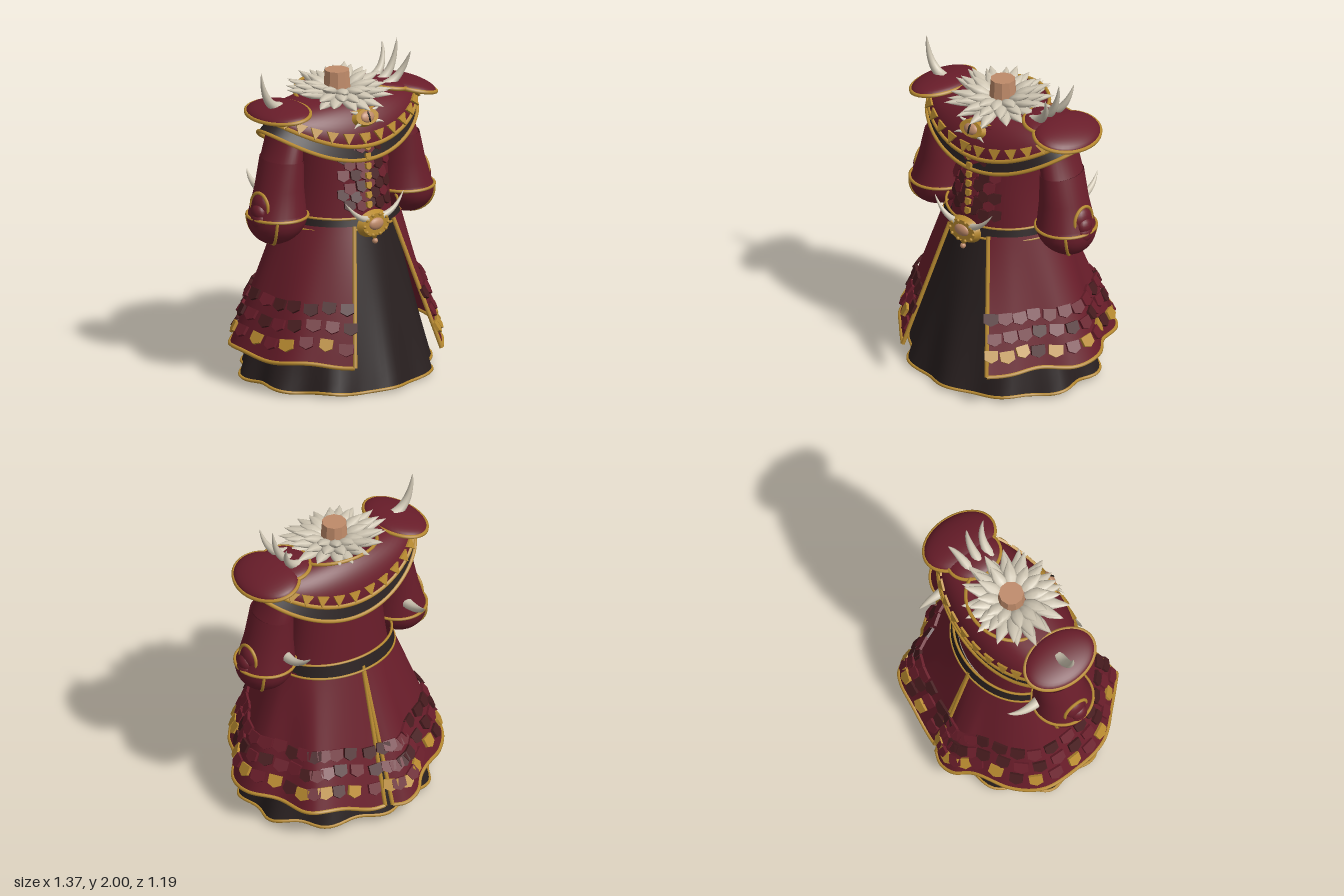
import * as THREE from 'three';
import { mergeGeometries, mergeVertices } from 'three/addons/utils/BufferGeometryUtils.js';

const mat = (name, color, side = THREE.FrontSide) =>
  Object.assign(new THREE.MeshStandardMaterial({ color, side }), { name });
const V = (x, y, z) => new THREE.Vector3(x, y, z);
const { lerp, smoothstep } = THREE.MathUtils;
const PI = Math.PI;

// Point on an egg-shaped ring; a = 0 faces front, a = PI/2 faces +x
const ring = (a, y, rx, zf, zb, cx = 0, cz = 0) =>
  V(cx + rx * Math.sin(a), y, cz + Math.cos(a) * (Math.cos(a) > 0 ? zf : zb));

// Smooth surface from f(u, v), u running to the right and v running down
function loft(f, nu, nv) {
  const pos = [], idx = [];
  for (let i = 0; i <= nu; i++) for (let j = 0; j <= nv; j++) pos.push(...f(i / nu, j / nv).toArray());
  for (let i = 0; i < nu; i++) for (let j = 0; j < nv; j++) {
    const a = i * (nv + 1) + j, c = a + nv + 1;
    idx.push(a, a + 1, c, c, a + 1, c + 1);
  }
  let g = new THREE.BufferGeometry();
  g.setAttribute('position', new THREE.Float32BufferAttribute(pos, 3));
  g.setIndex(idx);
  g = mergeVertices(g, 1e-5);
  g.computeVertexNormals();
  return g;
}

// Cord following a sampled path
function cord(f, n, closed = false, r = 0.0125) {
  const pts = Array.from({ length: closed ? n : n + 1 }, (_, i) => f(i / n));
  return new THREE.TubeGeometry(new THREE.CatmullRomCurve3(pts, closed), n * 2, r, 6, closed);
}

// Curved horn tapering to a point
function horn(p0, p1, p2, r) {
  const n = 14, m = 10, curve = new THREE.QuadraticBezierCurve3(p0, p1, p2);
  const g = new THREE.TubeGeometry(curve, n, r, m), p = g.attributes.position, v = V(0, 0, 0);
  for (let i = 0; i < p.count; i++) {
    const t = Math.floor(i / (m + 1)) / n, c = curve.getPointAt(t);
    v.fromBufferAttribute(p, i).sub(c).multiplyScalar(Math.pow(1 - t, 0.75)).add(c);
    p.setXYZ(i, v.x, v.y, v.z);
  }
  return g;
}

// Flat plate with the given outline
function plate(points, depth) {
  return new THREE.ExtrudeGeometry(new THREE.Shape(points.map(([x, y]) => new THREE.Vector2(x, y))),
    { depth, bevelEnabled: false });
}
const shield = (w, h, d = 0.018) =>
  plate([[-w / 2, h / 2], [-w / 2, -h * 0.22], [0, -h / 2], [w / 2, -h * 0.22], [w / 2, h / 2]], d);

// Lay a geometry on a surface, its +z along the surface normal
function layOn(g, f, u, v, lift, tilt = 0) {
  const e = 0.004, p = f(u, v);
  const x = f(u + e, v).sub(f(u - e, v)).normalize();
  const up = f(u, v - e).sub(f(u, v + e)).normalize();
  const z = x.clone().cross(up).normalize();
  const y = z.clone().cross(x);
  return g.rotateX(tilt).applyMatrix4(new THREE.Matrix4().makeBasis(x, y, z).setPosition(p.addScaledVector(z, lift)));
}

export function createModel() {
  const root = new THREE.Group();
  const crimson = mat('crimson cloth', 0x691d2a, THREE.DoubleSide);
  const dark = mat('dark cloth', 0x292020, THREE.DoubleSide);
  const maroon = mat('maroon scale', 0x461b1e);
  const gold = mat('gold trim', 0xb98b30);
  const ivory = mat('ivory', 0xd0c7b4);
  const tan = mat('tan', 0xbe8a69);
  const black = mat('black', 0x14100f);
  const add = (name, g, m, parent = root) => {
    const o = new THREE.Mesh(g, m);
    o.name = name;
    parent.add(o);
    return o;
  };
  let seed = 7;
  const rand = () => (seed = (seed * 16807) % 2147483647) / 2147483647;

  // Underskirt with a wavy hem
  const under = (u, v) => {
    const a = u * 2 * PI, s = v * 1.25, w = 1 + 0.04 * v * v * Math.cos(10 * a);
    const y = 1 - v * (0.98 - 0.035 * (1 - Math.cos(a)) / 2) + 0.008 * v * Math.cos(9 * a);
    return ring(a, y, (0.34 + 0.21 * s) * w, (0.33 + 0.175 * s) * w, (0.25 + 0.195 * s) * w, -0.015 * v);
  };
  add('underskirt', loft(under, 96, 16), dark);
  add('underskirtHem', cord(u => under(u, 1), 80, true, 0.01), gold);

  // Split overskirt: each panel runs from the waist to its own folded hem, with three rows of scales
  const hems = {
    left: [[0.33, 0.59], [0.44, 0.46], [0.52, 0.3], [0.65, 0.14], [0.67, -0.05], [0.56, -0.22], [0.51, -0.4], [0.42, -0.47], [0.25, -0.5], [0.02, -0.53]],
    right: [[-0.33, 0.58], [-0.47, 0.43], [-0.61, 0.26], [-0.65, 0.05], [-0.64, -0.2], [-0.5, -0.37], [-0.29, -0.48], [-0.2, -0.56], [-0.1, -0.58], [-0.02, -0.55]],
  };
  const scales = { crimson: [], maroon: [], gold: [] };
  for (const [name, points] of Object.entries(hems)) {
    const left = name === 'left';
    const hemCurve = new THREE.SplineCurve(points.map(p => new THREE.Vector2(...p)));
    const panel = (u, v) => {
      const w = left ? u : 1 - u, h = hemCurve.getPoint(Math.min(1, Math.max(0, w)));
      const a = Math.atan2(Math.abs(h.x), h.y);
      const waist = ring((0.4 + (a - 0.515) * 1.058) * (left ? 1 : -1), 1.01, 0.385, 0.385, 0.28);
      const y = 0.22 - 0.09 * smoothstep(a, 2.3, 3.1) + 0.01 * Math.sin(a * 8);
      return waist.lerp(V(h.x, y, h.y), v);
    };
    add(name + 'Overskirt', loft(panel, 56, 14), crimson);
    add(name + 'OverskirtHem', cord(u => panel(u, 1), 44), gold);
    add(name + 'OverskirtFrontEdge', cord(v => panel(left ? 0 : 1, v), 12, false, 0.014), gold);
    add(name + 'OverskirtBackEdge', cord(v => panel(left ? 1 : 0, v), 12, false, 0.014), gold);
    [0.6, 0.73, 0.865].forEach((v, row) => {
      const n = 16;
      for (let i = 0; i < n; i++) {
        const u = (i + (row % 2 ? 0.65 : 0.4)) / n, k = rand();
        const golden = row === 2 && (i % 2 === 0 || k < 0.12);
        const list = golden ? 'gold' : k < 0.62 ? 'maroon' : 'crimson';
        const w = 0.078 + rand() * 0.012;
        scales[list].push(layOn(shield(w, 0.076), panel, u, v + (rand() - 0.5) * 0.025, 0.008, -0.1 - rand() * 0.2));
      }
    });
  }

  // Torso with a staggered column of scales down the chest
  const torso = (u, v) => {
    const y = lerp(1.68, 0.98, v), q = Math.pow(2 * v - 0.9, 2);
    return ring(u * 2 * PI, y, 0.315 + 0.03 * q, 0.275 + 0.03 * v, 0.2 + 0.04 * v);
  };
  add('torso', loft(torso, 48, 12), crimson);
  for (let r = 0; r < 8; r++) {
    const y = 1.535 - r * 0.06, shift = r % 2 ? 0.035 : 0;
    for (const x of [-0.16, -0.09, -0.035, 0.035, 0.1]) {
      const u = Math.asin((x + shift) / 0.32) / (2 * PI);
      const v = (1.68 - y + (rand() - 0.5) * 0.03) / 0.7;
      scales[rand() < 0.64 ? 'maroon' : 'crimson'].push(layOn(shield(0.068, 0.07), torso, u, v, 0.012, -0.2 - rand() * 0.15));
    }
    scales.gold.push(layOn(shield(0.036, 0.042), torso, -0.011, (1.68 - y) / 0.7, 0.034, -0.15));
  }
  for (const [k, m] of [['crimson', crimson], ['maroon', maroon], ['gold', gold]])
    add(k + 'Scales', mergeGeometries(scales[k]), m);

  // Belt and buckle
  const belt = (u, v) => {
    const a = u * 2 * PI, top = 1.05 + 0.012 * (1 - Math.cos(a));
    return ring(a, lerp(top, 0.985, v), 0.375 + 0.015 * v, 0.355 + 0.02 * v, 0.275 + 0.02 * v);
  };
  add('belt', loft(belt, 48, 1), dark);
  for (const v of [0, 1]) add('beltTrim', cord(u => belt(u, v), 40, true, 0.008), gold);
  const buckle = new THREE.Group();
  buckle.name = 'buckle';
  buckle.position.set(-0.02, 1.01, 0.385);
  root.add(buckle);
  add('buckleDisc', new THREE.CylinderGeometry(0.1, 0.122, 0.035, 28).rotateX(PI / 2).scale(1, 0.7, 1), gold, buckle);
  add('buckleStone', new THREE.SphereGeometry(0.055, 20, 12).scale(1, 0.7, 0.45).translate(0, 0.005, 0.014), tan, buckle);
  for (let i = 0; i < 10; i++) {
    const a = i * PI / 5;
    add('buckleStud', new THREE.SphereGeometry(0.011, 8, 6).translate(0.09 * Math.cos(a), 0.063 * Math.sin(a), 0.018), gold, buckle);
  }
  add('bucklePoint', new THREE.ConeGeometry(0.03, 0.05, 4).rotateX(PI).translate(0, -0.085, 0), gold, buckle);
  add('buckleBead', new THREE.SphereGeometry(0.018, 10, 8).translate(0, -0.105, 0.005), tan, buckle);
  for (const s of [-1, 1])
    add('buckleHorn', horn(V(s * 0.06, 0.04, 0), V(s * 0.15, 0.06, 0.02), V(s * 0.225, 0.17, 0), 0.022), ivory, buckle);

  // Two-layer mantle: dark under layer and crimson upper layer
  const drop = a => Math.pow(Math.cos(a), 2);
  const lowerMantle = (u, v) => {
    const a = u * 2 * PI, c = drop(a), back = Math.cos(a) < 0 ? 0.02 : 0;
    return ring(a, lerp(1.69 - 0.12 * c, 1.6 - (0.2 + back) * c, v), lerp(0.46, 0.565, v), lerp(0.28, 0.325, v), lerp(0.22, 0.27, v));
  };
  add('mantleUnderLayer', loft(lowerMantle, 64, 4), dark);
  add('mantleUnderTrim', cord(u => lowerMantle(u, 1), 56, true), gold);
  const mantle = (u, v) => {
    const a = u * 2 * PI, h = Math.sin(v * PI / 2), k = 1 - Math.cos(v * PI / 2);
    return ring(a, lerp(1.76, 1.675 - 0.185 * drop(a), k), lerp(0.1, 0.55, h), lerp(0.1, 0.335, h), lerp(0.1, 0.275, h));
  };
  add('mantle', loft(mantle, 64, 14), crimson);
  add('mantleTrim', cord(u => mantle(u, 1), 56, true, 0.014), gold);
  const teeth = [];
  for (let i = 0; i < 30; i++)
    teeth.push(layOn(plate([[-0.038, 0.03], [0, -0.037], [0.038, 0.03]], 0.014), mantle, (i + 0.5) / 30, 0.88, 0.003, -0.1));
  add('mantleTeeth', mergeGeometries(teeth), gold);

  // Collar, neck and leaf-shaped fur ruff
  const collar = (u, v) => {
    const a = u * 2 * PI, lift = 0.05 * (1 - Math.cos(a));
    return ring(a, lerp(1.685 + lift, 1.66 + lift * 0.7, v), lerp(0.265, 0.15, v), lerp(0.255, 0.15, v), lerp(0.23, 0.13, v));
  };
  add('collar', loft(collar, 40, 2), crimson);
  add('collarTrim', cord(u => collar(u, 0), 36, true, 0.011), gold);
  const neck = new THREE.CylinderGeometry(0.075, 0.088, 0.17, 10).toNonIndexed();
  neck.computeVertexNormals();
  add('neck', neck.translate(-0.015, 1.805, 0.025), tan);
  const leafProfile = [[0, 0], [0.028, 0.03], [0.042, 0.09], [0.036, 0.145], [0.016, 0.2], [0, 0.235]].map(p => new THREE.Vector2(...p));
  const leaves = [];
  [[17, 0.08, 1, 0], [15, 0.07, 0.92, 0.015], [12, 0.06, 0.68, 0.03]].forEach(([n, r, len, dy], row) => {
    for (let i = 0; i < n; i++) {
      const a = (i + row * 0.5) / n * 2 * PI + (rand() - 0.5) * 0.15;
      const rise = 0.2 + row * 0.11 - 0.32 * Math.max(0, Math.cos(a)) + (rand() - 0.5) * 0.16;
      const wide = 1 + 0.14 * Math.abs(Math.sin(a));
      leaves.push(new THREE.LatheGeometry(leafProfile, 8).scale(1, len * wide * (0.92 + rand() * 0.12), 0.58)
        .rotateX(PI / 2 - rise).translate(0, 0, r).rotateY(a).translate(-0.015, 1.745 + dy, 0.04));
    }
  });
  add('furRuff', mergeGeometries(leaves), ivory);

  // Eye-shaped brooch
  const brooch = new THREE.Group();
  brooch.name = 'brooch';
  brooch.position.set(-0.02, 1.66, 0.305);
  brooch.rotation.x = -0.4;
  root.add(brooch);
  add('broochFrame', new THREE.CylinderGeometry(0.085, 0.097, 0.03, 28).rotateX(PI / 2).scale(1, 0.58, 1), gold, brooch);
  add('broochStone', new THREE.SphereGeometry(0.05, 20, 12).scale(1, 0.7, 0.4).translate(0, 0, 0.014), tan, brooch);
  add('broochPupil', new THREE.SphereGeometry(0.03, 12, 8).scale(0.22, 1.2, 0.25).translate(0, 0, 0.031), black, brooch);
  for (const x of [-1, 1]) for (const y of [-1, 1])
    add('broochClaw', horn(V(x * 0.06, y * 0.035, 0), V(x * 0.09, y * 0.035, 0.01), V(x * 0.115, y * 0.055, 0.01), 0.012), ivory, brooch);

  // Domed shoulder plates with gold rims
  const pauldron = (name, x, y, rx, rz, h, tilt) => {
    const g = new THREE.Group();
    g.name = name;
    g.position.set(x, y, 0.03);
    g.rotation.z = tilt;
    root.add(g);
    add(name + 'Dome', new THREE.SphereGeometry(1, 36, 10, 0, 2 * PI, 0, PI / 2).scale(rx, h, rz), crimson, g);
    add(name + 'Underside', new THREE.CircleGeometry(1, 36).rotateX(PI / 2).scale(rx, 1, rz), crimson, g);
    add(name + 'Rim', cord(u => ring(u * 2 * PI, 0, rx, rz, rz), 32, true), gold, g);
  };
  pauldron('leftShoulderPlate', 0.49, 1.7, 0.175, 0.235, 0.06, -0.24);
  pauldron('leftInnerShoulderPlate', 0.35, 1.735, 0.14, 0.17, 0.04, -0.15);
  pauldron('rightShoulderPlate', -0.475, 1.715, 0.16, 0.235, 0.05, 0.14);

  // Shoulder horns: one on the right, three on the left
  add('rightShoulderHorn', horn(V(-0.46, 1.74, 0.03), V(-0.59, 1.77, 0.03), V(-0.605, 1.985, 0.03), 0.036), ivory);
  for (const [z, z2, top] of [[-0.04, -0.1, 1.95], [0.035, 0.04, 2], [0.11, 0.17, 1.95]])
    add('leftShoulderHorn', horn(V(0.28, 1.74, z), V(0.42, 1.78, z), V(0.435, top, z2), 0.036), ivory);

  // Arms: sleeve, bowl-shaped cuff, guard and elbow spike
  const rings = [[1.64, 0.4, 0.08, 0.1], [1.54, 0.42, 0.09, 0.145], [1.42, 0.445, 0.108, 0.152], [1.425, 0.448, 0.114, 0.156],
    [1.25, 0.468, 0.142, 0.158], [1.1, 0.485, 0.172, 0.178], [1.08, 0.487, 0.178, 0.183]];
  for (const s of [-1, 1]) {
    const arm = new THREE.Group();
    arm.name = s > 0 ? 'leftArm' : 'rightArm';
    root.add(arm);
    const sleeve = (u, v) => {
      const [y, x, rx, rz] = rings[Math.round(v * 6)];
      return ring(u * 2 * PI, y, rx, rz, rz, s * x, lerp(0.02, 0.04, v));
    };
    add('sleeve', loft(sleeve, 32, 6), crimson, arm);
    const cuff = (u, v) => {
      const k = Math.pow(Math.max(0, Math.cos(v * PI / 2)), 1.05), y = 1.08 - 0.175 * Math.sin(v * PI / 2);
      return ring(u * 2 * PI, y, 0.181 * k, 0.186 * k, 0.186 * k, s * (0.489 + 0.035 * v), 0.04);
    };
    add('cuff', loft(cuff, 36, 8), crimson, arm);
    add('cuffTopTrim', cord(u => cuff(u, 0), 32, true, 0.01), gold, arm);
    const outer = s * 0.11, rear = s * 0.39;
    add('cuffLowerTrim', cord(t => cuff(t < 0.5 ? outer : rear, 1 - Math.abs(2 * t - 1)), 16, false, 0.01), gold, arm);
    add('armGuard', new THREE.SphereGeometry(1, 20, 14).scale(0.055, 0.085, 0.078).translate(s * 0.6, 1.15, 0.035), crimson, arm);
    add('armGuardTrim', new THREE.TorusGeometry(0.08, 0.01, 6, 32).rotateY(PI / 2).scale(1, 1.07, 1).translate(s * 0.62, 1.15, 0.035), gold, arm);
    for (const [y, z, r] of [[1.12, 0.045, 0.055], [1.075, 0.045, 0.06]])
      add('guardKnob', new THREE.SphereGeometry(r, 16, 12).scale(0.75, 1, 1).translate(s * 0.635, y, z), crimson, arm);
    add('elbowSpike', horn(V(s * 0.45, 1.18, -0.11), V(s * 0.46, 1.17, -0.24), V(s * 0.425, 1.27, -0.33), 0.034), ivory, arm);
  }
  return root;
}
